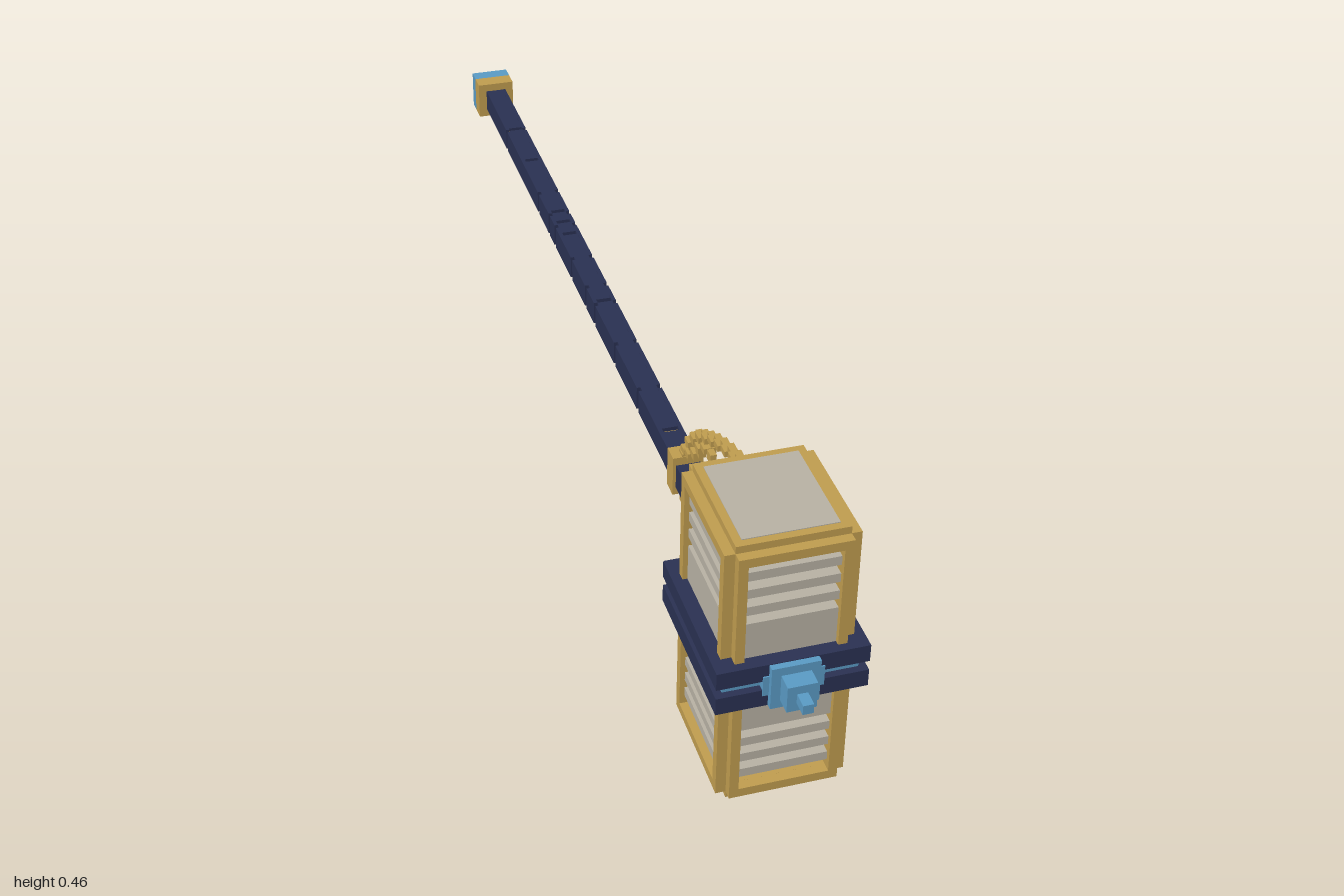
import * as THREE from 'three';

const mat = (name, color) => {
  const m = new THREE.MeshStandardMaterial({ color });
  m.name = name;
  return m;
};

export function createModel() {
  const gold = mat('gold', 0xc09d4f);
  const stone = mat('stone', 0xb8b2a4);
  const blue = mat('blue', 0x5a9bc5);
  const navy = mat('navy', 0x2a3152);

  const model = new THREE.Group();
  model.name = 'hammer';
  const MID = 0.2315; // height of the handle axis
  const HZ = 0.817; // centre of the head along z

  const group = (name, y, z) => {
    const g = new THREE.Group();
    g.name = name;
    g.position.set(0, y, z);
    model.add(g);
    return g;
  };
  // Box from its centre and full size
  const box = (parent, name, m, x, y, z, w, h, d) => {
    const mesh = new THREE.Mesh(new THREE.BoxGeometry(w, h, d), m);
    mesh.name = name;
    mesh.position.set(x, y, z);
    parent.add(mesh);
    return mesh;
  };

  // Head: glowing core behind slotted stone panels
  const head = group('head', MID, HZ);
  box(head, 'innerCore', blue, 0, 0, 0, 0.124, 0.42, 0.15);
  const slab = (y0, y1) => {
    const y = (y0 + y1) / 2, h = y1 - y0;
    box(head, 'stoneSlab', stone, 0, y, 0, 0.18, h, 0.16);
    box(head, 'stoneSlab', stone, 0, y, 0, 0.136, h, 0.204);
  };
  slab(-0.098, 0.098);
  for (const s of [-1, 1]) {
    for (let i = 0; i < 3; i++) {
      const a = s * (0.113 + 0.03 * i), b = a + s * 0.015;
      slab(Math.min(a, b), Math.max(a, b));
    }
    // Gold rims and end caps
    box(head, 'endRim', gold, 0, s * 0.211, 0, 0.195, 0.015, 0.19);
    box(head, 'endRim', gold, 0, s * 0.211, 0, 0.164, 0.0149, 0.22);
    box(head, 'endCap', gold, 0, s * 0.224, 0, 0.164, 0.0125, 0.19);
    box(head, 'endPlate', stone, 0, s * 0.2305, 0, 0.14, 0.002, 0.166);
  }
  // Notched corner posts
  for (const sx of [-1, 1]) for (const sz of [-1, 1]) {
    box(head, 'cornerPost', gold, sx * 0.08275, 0, sz * 0.0875, 0.0295, 0.434, 0.015);
    box(head, 'cornerPost', gold, sx * 0.075, 0, sz * 0.095, 0.014, 0.4338, 0.03);
  }

  // Band around the head: two navy hoops with a blue inlay between them
  const band = group('band', MID, 0.815);
  box(band, 'bandInlay', blue, 0, 0, 0, 0.2, 0.03, 0.228);
  for (const s of [-1, 1]) {
    box(band, 'bandHoop', navy, 0, s * 0.0225, 0, 0.224, 0.029, 0.25);
  }

  // Stepped blue studs at both ends
  const stud = (name, z, dir) => {
    const g = group(name, MID, z);
    for (const [half, z0, z1] of [[0.036, 0, 0.028], [0.022, 0.028, 0.054], [0.008, 0.054, 0.078]]) {
      box(g, 'studStep', blue, 0, 0, dir * (z0 + z1) / 2, half * 2, half * 2, z1 - z0);
    }
    return g;
  };
  const front = stud('frontStud', 0.922, 1);
  box(front, 'studWings', blue, 0, 0, 0.01, 0.09, 0.034, 0.02);
  stud('pommelStud', -0.922, -1);

  // Handle: gold core under navy strips broken by narrow grooves
  const handle = group('handle', MID, 0);
  box(handle, 'handleCore', gold, 0, 0, -0.105, 0.028, 0.028, 1.59);
  const strips = (grooves, place) => {
    let start = -0.9;
    for (const g of [...grooves, 0.7]) {
      const end = g - 0.005;
      place((start + end) / 2, end - start);
      start = g + 0.005;
    }
  };
  for (const s of [-1, 1]) {
    strips([-0.705, -0.44, -0.355, -0.31, -0.19, -0.09, -0.03, 0.1, 0.24, 0.5], (z, d) =>
      box(handle, 'sideStrip', navy, s * 0.0165, 0, z, 0.007, 0.042, d));
    strips([-0.71, -0.575, -0.365, -0.325, -0.28, -0.04, 0.36, 0.55], (z, d) =>
      box(handle, 'topStrip', navy, 0, s * 0.0165, z, 0.027, 0.0085, d));
  }

  // Gold collars
  box(handle, 'headCollar', gold, 0, 0, 0.675, 0.072, 0.07, 0.036);
  box(handle, 'chainCollar', gold, 0, 0, 0.44, 0.05, 0.07, 0.03);
  box(handle, 'pommelCollar', gold, 0, 0, -0.907, 0.072, 0.072, 0.034);

  // Chains of small blocks from the head back to the collar, as [z, height above axis]
  const chains = group('chains', MID, 0);
  const paths = [
    [[0.705, 0.2], [0.62, 0.172], [0.545, 0.135], [0.48, 0.085], [0.445, 0.035]],
    [[0.66, 0.045], [0.61, 0.085], [0.545, 0.118], [0.5, 0.075], [0.445, 0.035]],
  ];
  for (const s of [-1, 1]) {
    for (const p of paths) {
      const curve = new THREE.CatmullRomCurve3(p.map(([z, y]) => new THREE.Vector3(0, s * y, z)));
      const n = Math.round(curve.getLength() / 0.017);
      for (let i = 0; i <= n; i++) {
        const v = curve.getPointAt(i / n);
        const flat = i % 2 === 0;
        box(chains, 'chainLink', gold, 0, v.y, v.z, flat ? 0.02 : 0.01, flat ? 0.01 : 0.016, 0.018);
      }
    }
    // Studs on the back of the head
    box(chains, 'chainAnchor', gold, 0, s * 0.178, 0.692, 0.02, 0.02, 0.04);
    box(chains, 'backStud', gold, 0, s * 0.078, 0.692, 0.02, 0.02, 0.04);
  }

  return model;
}
